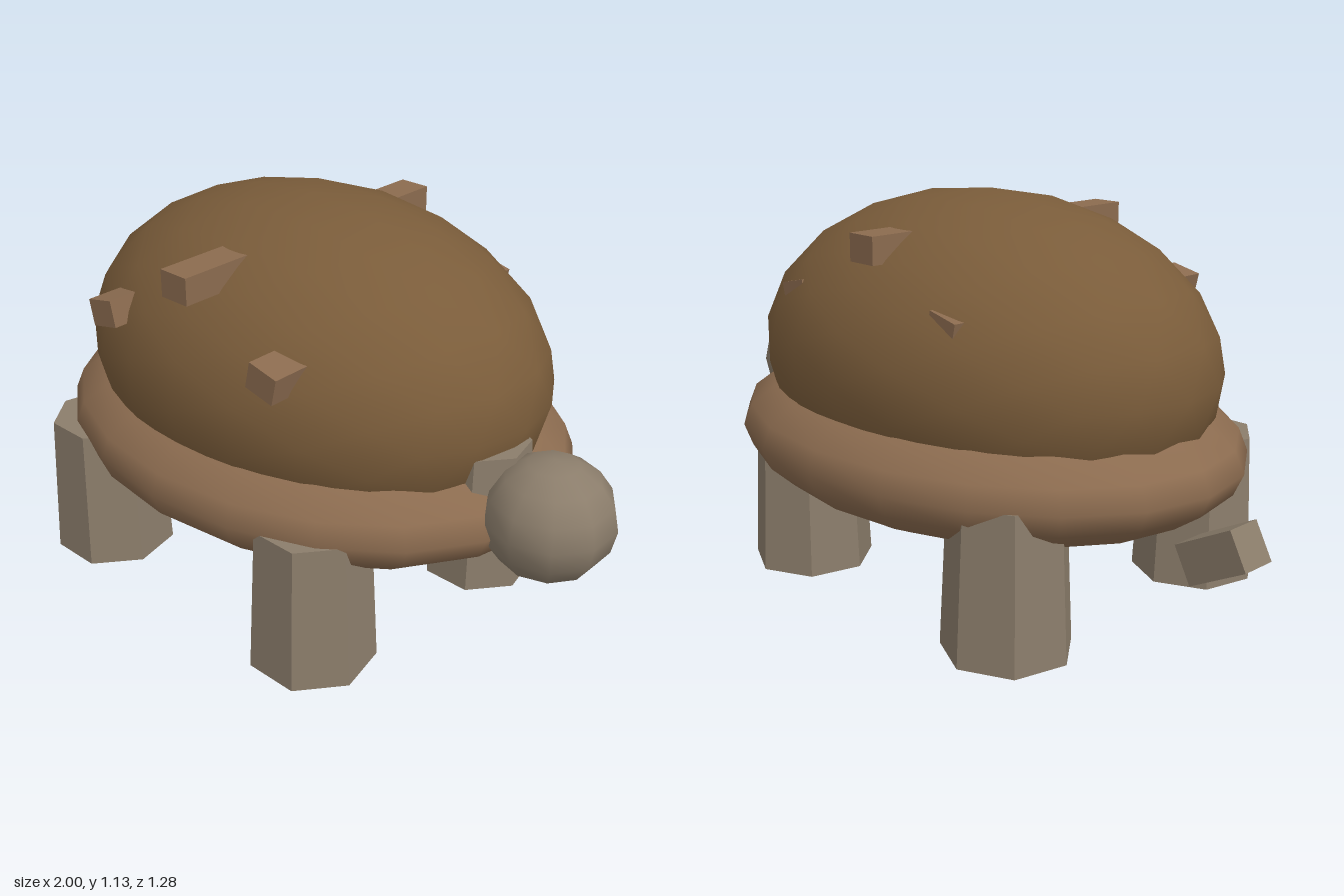
import * as THREE from 'three';

const mat = (color, flatShading = false) => {
  const m = new THREE.MeshStandardMaterial({ color });
  m.flatShading = flatShading;
  return m;
};

export function createModel() {
  const model = new THREE.Group();
  const shellMat = mat(0x7a5c3a);
  const rimMat = mat(0x8b6b4f);
  const spikeMat = mat(0x8b6b4f, true);
  const skinMat = mat(0x8b7d6b);
  const limbMat = mat(0x8b7d6b, true);

  const add = (name, geometry, material, x, y, z) => {
    const mesh = new THREE.Mesh(geometry, material);
    mesh.name = name;
    mesh.position.set(x, y, z);
    model.add(mesh);
    return mesh;
  };

  // Domed shell, sunk into the flatter rim and belly
  add('shell', new THREE.IcosahedronGeometry(1, 3), shellMat, -0.04, 0.66, 0)
    .scale.set(0.755, 0.47, 0.56);
  add('rim', new THREE.SphereGeometry(1, 20, 12), rimMat, -0.04, 0.43, 0)
    .scale.set(0.83, 0.24, 0.64);

  // Seven-sided tapered posts, flat side to the front
  const post = (name, rTop, rBottom, bottom, top, x, z) => {
    const geometry = new THREE.CylinderGeometry(rTop, rBottom, top - bottom, 7);
    add(name, geometry, limbMat, x, (top + bottom) / 2, z).rotation.y = Math.PI;
  };
  for (const [end, z] of [['front', 0.43], ['back', -0.35]]) {
    post(end + 'LeftLeg', 0.16, 0.18, 0, 0.43, 0.351, z);
    post(end + 'RightLeg', 0.16, 0.18, 0, 0.43, -0.5, z);
  }
  post('neck', 0.127, 0.15, 0.235, 0.62, 0.615, 0.047);

  // Head
  const head = add('head', new THREE.SphereGeometry(0.18, 10, 8), skinMat, 0.829, 0.467, 0.038);
  head.scale.y = 0.95;
  head.rotation.y = Math.PI / 10;

  // Stubby tail
  add('tail', new THREE.BoxGeometry(0.192, 0.113, 0.11), limbMat, -0.89, 0.275, 0.035)
    .rotation.z = -0.49;

  // Bars running through the shell, their ends showing at front and back
  const bar = new THREE.BoxGeometry(0.095, 0.077, 0.97);
  add('topBar', bar, spikeMat, -0.04, 1.008, 0.04);
  for (const side of [-1, 1]) {
    add(side > 0 ? 'leftBar' : 'rightBar', bar, spikeMat, -0.04 + side * 0.31, 0.84, 0.04)
      .rotation.z = -side * 0.22;
  }

  return model;
}
